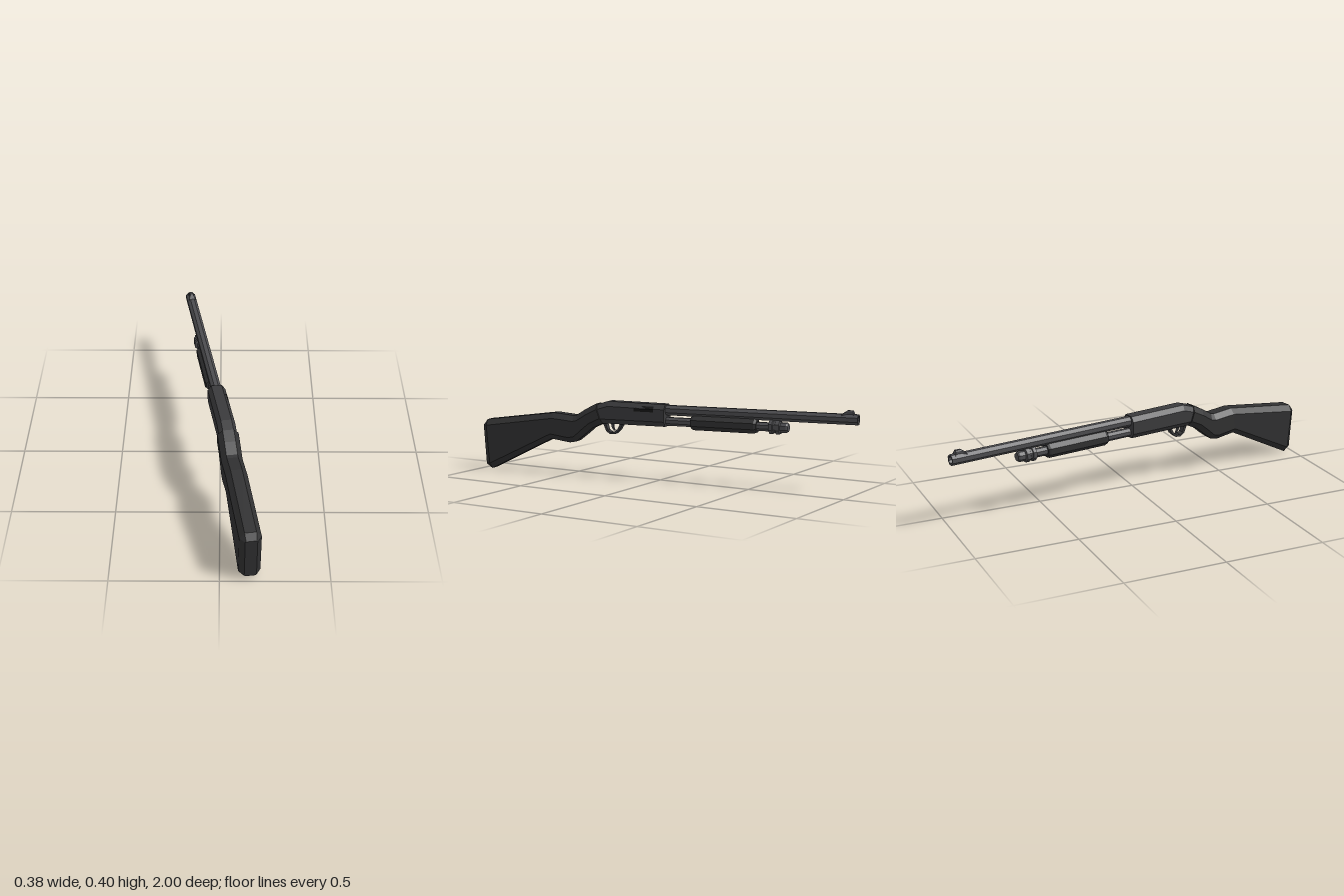
import * as THREE from 'three';

const mat = (color) => new THREE.MeshStandardMaterial({ color, flatShading: true, side: THREE.DoubleSide });
const STOCK = mat(0x303031), BODY = mat(0x3a3a3c), METAL = mat(0x4c4c4f), DARK = mat(0x161616);

// Chamfered-box loft along z; section = [zTop, yTop, zBottom, yBottom, halfWidth, chamferX, chamferY]
function loft(sections) {
  const rings = sections.map(([zt, yt, zb, yb, w, cx, cy]) => {
    const f = cy / Math.hypot(zt - zb, yt - yb);
    const at = (x, t) => [x, yb + (yt - yb) * t, zb + (zt - zb) * t];
    return [at(w, f), at(w, 1 - f), at(w - cx, 1), at(cx - w, 1),
      at(-w, 1 - f), at(-w, f), at(cx - w, 0), at(w - cx, 0)];
  });
  const pos = [];
  const tri = (a, b, c) => pos.push(...a, ...b, ...c);
  for (let i = 0; i < rings.length - 1; i++) {
    for (let j = 0; j < 8; j++) {
      const k = (j + 1) % 8, p = rings[i], q = rings[i + 1];
      tri(p[j], p[k], q[k]);
      tri(p[j], q[k], q[j]);
    }
  }
  const first = rings[0], last = rings[rings.length - 1];
  for (let j = 1; j < 7; j++) {
    tri(first[0], first[j + 1], first[j]);
    tri(last[0], last[j], last[j + 1]);
  }
  const g = new THREE.BufferGeometry();
  g.setAttribute('position', new THREE.Float32BufferAttribute(pos, 3));
  g.computeVertexNormals();
  return g;
}

// Eight-sided turned part along z at height y; profile = [flatRadius, z] pairs
function turned(profile, y) {
  const pts = profile.map(([r, z]) => new THREE.Vector2(r / Math.cos(Math.PI / 8), z));
  return new THREE.LatheGeometry(pts, 8, Math.PI / 8).rotateX(Math.PI / 2).translate(0, y, 0);
}

const polygon = (pts, Type = THREE.Shape) => new Type(pts.map(([a, b]) => new THREE.Vector2(a, b)));

// Extrude a side outline given as [z, y], centred across the width
function sidePlate(shape, width) {
  return new THREE.ExtrudeGeometry(shape, { depth: width, bevelEnabled: false })
    .translate(0, 0, -width / 2).rotateY(-Math.PI / 2);
}

export function createModel() {
  const root = new THREE.Group();
  root.name = 'shotgun';
  const gun = new THREE.Group();
  gun.name = 'gunBody';
  gun.position.x = -0.015;
  const add = (name, geometry, material) => {
    const m = new THREE.Mesh(geometry, material);
    m.name = name;
    gun.add(m);
  };

  // Shoulder stock with grip, ending in a bevelled butt
  add('stock', loft([
    [0.348, 0.374, 0.314, 0.274, 0.051, 0.024, 0.028],
    [0.405, 0.345, 0.375, 0.245, 0.051, 0.024, 0.028],
    [0.462, 0.310, 0.420, 0.207, 0.051, 0.024, 0.028],
    [0.480, 0.306, 0.465, 0.172, 0.051, 0.024, 0.028],
    [0.510, 0.309, 0.500, 0.165, 0.051, 0.024, 0.028],
    [0.590, 0.316, 0.607, 0.179, 0.051, 0.024, 0.028],
    [0.985, 0.262, 0.962, 0.001, 0.051, 0.024, 0.030],
    [1.010, 0.232, 0.995, 0.022, 0.028, 0.004, 0.004],
  ]), STOCK);

  // Receiver
  add('receiver', loft([
    [-0.030, 0.386, -0.030, 0.274, 0.044, 0.018, 0.025],
    [0.285, 0.389, 0.262, 0.274, 0.044, 0.018, 0.025],
    [0.352, 0.368, 0.320, 0.274, 0.044, 0.018, 0.025],
  ]), BODY);

  // Ejection port on the left side, following the chamfer
  const port = polygon([[0.03, 0.346], [0.0448, 0.346], [0.0448, 0.361], [0.0355, 0.374], [0.03, 0.374]]);
  add('ejectionPort', new THREE.ExtrudeGeometry(port, { depth: 0.105, bevelEnabled: false })
    .translate(0, 0, 0.028), DARK);

  // Hollow barrel and front sight
  add('barrel', turned([[0.017, -0.9], [0.017, -1.009], [0.025, -1.009], [0.025, -0.02]], 0.356), METAL);
  add('boreBottom', turned([[0, -0.9], [0.017, -0.9]], 0.356), DARK);
  add('frontSight', loft([
    [-0.988, 0.381, -0.988, 0.371, 0.018, 0.003, 0.002],
    [-0.982, 0.399, -0.982, 0.371, 0.010, 0.003, 0.005],
    [-0.955, 0.399, -0.955, 0.371, 0.010, 0.003, 0.005],
    [-0.930, 0.381, -0.930, 0.371, 0.018, 0.003, 0.002],
  ]), METAL);

  // Magazine tube with end cap, clamp and sliding fore-end
  add('magazineTube', turned([[0, -0.665], [0.019, -0.665], [0.024, -0.657], [0.024, -0.625],
    [0.021, -0.622], [0.021, -0.02]], 0.299), METAL);
  add('tubeClamp', turned([[0.021, -0.628], [0.034, -0.624], [0.034, -0.605], [0.029, -0.602],
    [0.029, -0.592], [0.034, -0.589], [0.034, -0.572], [0.021, -0.568]], 0.301), METAL);
  add('foreEnd', turned([[0.021, -0.507], [0.031, -0.507], [0.036, -0.495], [0.036, -0.18],
    [0.031, -0.166], [0.021, -0.166]], 0.300), STOCK);

  // Trigger guard and trigger
  const guard = polygon([[0.203, 0.28], [0.225, 0.243], [0.248, 0.222], [0.278, 0.219],
    [0.300, 0.233], [0.320, 0.28]]);
  guard.holes.push(polygon([[0.222, 0.274], [0.236, 0.248], [0.253, 0.232], [0.275, 0.229],
    [0.291, 0.24], [0.302, 0.274]], THREE.Path));
  add('triggerGuard', sidePlate(guard, 0.03), BODY);
  add('trigger', sidePlate(polygon([[0.262, 0.28], [0.264, 0.255], [0.256, 0.238], [0.262, 0.237],
    [0.273, 0.255], [0.278, 0.28]]), 0.012), METAL);

  // The whole gun lies slightly askew
  root.rotation.y = 0.155;
  root.add(gun);
  const out = new THREE.Group();
  out.name = 'model';
  out.add(root);
  return out;
}
